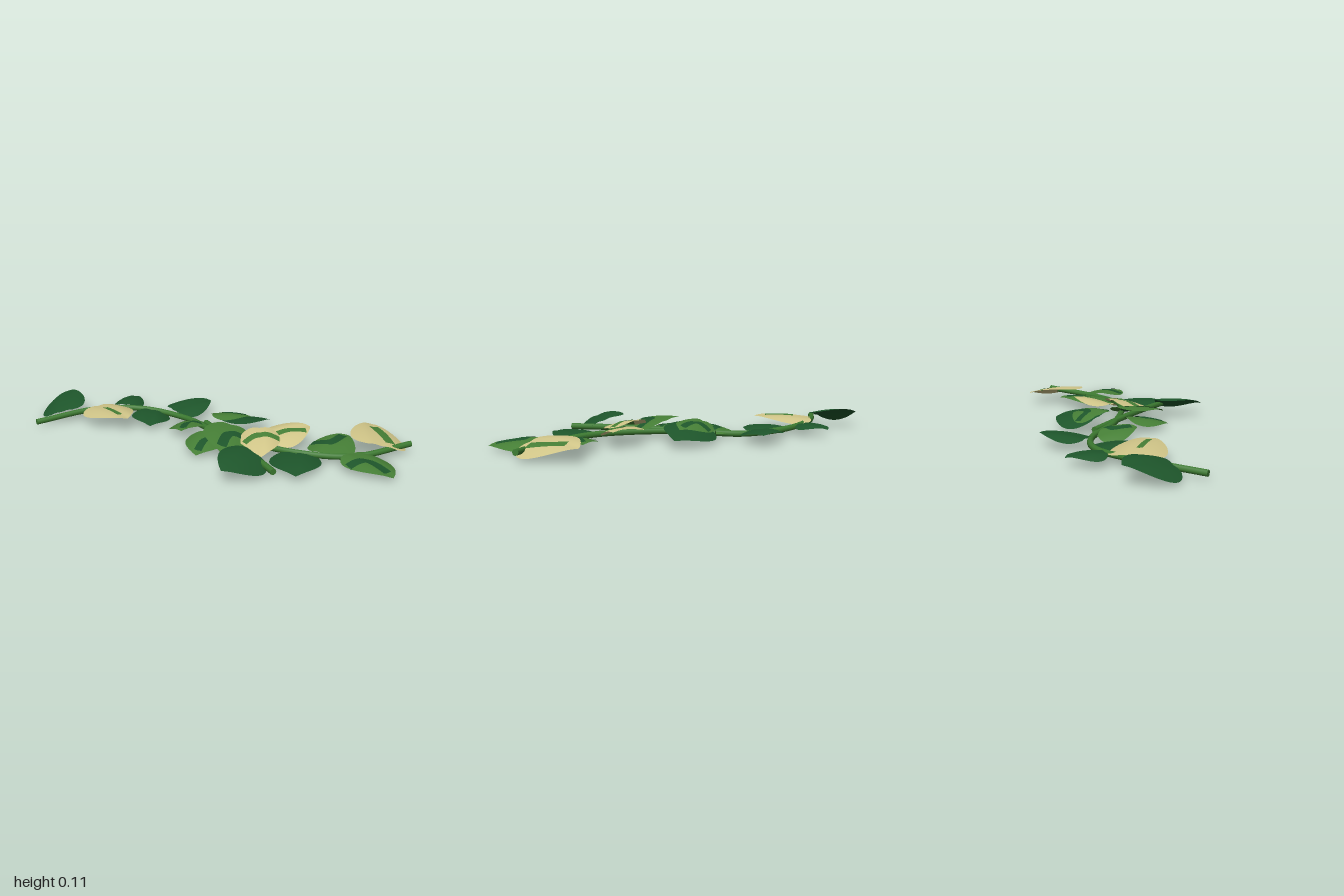
import * as THREE from 'three';

const mat = (name, color) => {
  const m = new THREE.MeshStandardMaterial({ color, side: THREE.DoubleSide });
  m.name = name;
  return m;
};

// Open sheet from a rule fn(s, q) -> [x, y, z], s in 0..1 along, q in -1..1 across
function sheet(rows, cols, fn) {
  const pos = [], idx = [];
  for (let i = 0; i <= rows; i++) {
    for (let j = 0; j <= cols; j++) pos.push(...fn(i / rows, (2 * j) / cols - 1));
  }
  for (let i = 0; i < rows; i++) {
    for (let j = 0; j < cols; j++) {
      const a = i * (cols + 1) + j, b = a + cols + 1;
      idx.push(a, a + 1, b, a + 1, b + 1, b);
    }
  }
  const g = new THREE.BufferGeometry();
  g.setAttribute('position', new THREE.Float32BufferAttribute(pos, 3));
  g.setIndex(idx);
  g.computeVertexNormals();
  return g;
}

// Broad near the base, pointed at the tip
const halfWidth = (t) => 2.08 * (t + 0.03) ** 0.4 * (1 - t) ** 0.8;
const half = 0.44;

// Leaf from base to tip in plan; the slopes tilt it along x and z
function makeLeaf([bx, bz, tx, tz, y, slopeX = 0, slopeZ = 0], leafMat, streak) {
  const group = new THREE.Group();
  const dx = tx - bx, dz = tz - bz;

  // t runs base to tip, p runs across; domed, with a shallow midrib and drooping tip
  const point = (t, p, lift = 0) => {
    const x = bx + dx * t - dz * p * half, z = bz + dz * t + dx * p * half;
    const tilt = slopeX * (x - bx - dx / 2) + slopeZ * (z - bz - dz / 2);
    const dome = 0.013 - 0.03 * p * p - 0.045 * (t - 0.4) ** 2 - 0.006 * Math.exp(-30 * p * p);
    return [x, y + tilt + dome + lift, z];
  };

  const blade = new THREE.Mesh(sheet(20, 8, (t, q) => point(t, q * halfWidth(t))), leafMat);
  blade.name = 'blade';
  group.add(blade);

  // Variegated streak, laid on both faces and trimmed to the leaf edge
  if (streak) {
    for (const lift of [0.003, -0.003]) {
      const mesh = new THREE.Mesh(sheet(24, 2, (s, q) => {
        const c = streak.path.getPoint(s), d = streak.path.getTangent(s);
        const w = q * streak.width;
        const t = THREE.MathUtils.clamp(c.x - d.y * w, 0, 1), edge = halfWidth(t);
        return point(t, THREE.MathUtils.clamp((c.y + d.x * w) / half, -edge, edge), lift);
      }), streak.mat);
      mesh.name = 'streak';
      group.add(mesh);
    }
  }
  return group;
}

// Round, gently waving stem through points in plan, with end caps
function makeStem(name, points, m) {
  const group = new THREE.Group();
  group.name = name;
  const curve = new THREE.CatmullRomCurve3(points.map(([x, z]) =>
    new THREE.Vector3(x, 0.045 + 0.01 * Math.cos(7.4 * (x + 0.65)), z)));
  group.add(new THREE.Mesh(new THREE.TubeGeometry(curve, 48, 0.016, 8), m));
  for (const t of [0, 1]) {
    const cap = new THREE.Mesh(new THREE.CircleGeometry(0.016, 8), m);
    cap.position.copy(curve.getPoint(t));
    cap.quaternion.setFromUnitVectors(
      new THREE.Vector3(0, 0, 1), curve.getTangent(t).multiplyScalar(t ? 1 : -1));
    group.add(cap);
  }
  return group;
}

// Streak path in leaf lengths: along, across
const makeStreak = (points, width, m, side = 1) => ({
  path: new THREE.SplineCurve(points.map(([t, p]) => new THREE.Vector2(t, p * side))), width, mat: m,
});

export function createModel() {
  const model = new THREE.Group();
  model.name = 'variegatedVine';
  const dark = mat('darkLeafGreen', 0x1e562b);
  const green = mat('leafGreen', 0x467f36);
  const cream = mat('cream', 0xd0c588);
  const stem = mat('stemGreen', 0x3c7a30);

  model.add(makeStem('mainStem', [
    [-0.985, -0.08], [-0.7, -0.29], [-0.45, -0.35], [-0.2, -0.26],
    [0, -0.04], [0.38, 0.18], [0.7, 0.18], [0.985, 0.01],
  ], stem));
  model.add(makeStem('sideStem', [[-0.08, -0.19], [0.13, 0.14], [0.335, 0.46]], stem));

  // Streak patterns
  const elbowPath = [[0.35, -0.42], [0.42, -0.06], [0.86, 0]];
  const elbow = makeStreak(elbowPath, 0.09, dark);
  const mirroredElbow = makeStreak(elbowPath, 0.09, dark, -1);
  const thin = makeStreak([[0.3, 0.03], [0.8, 0.03]], 0.05, green);
  const slant = makeStreak([[0.04, 0.02], [0.45, 0.03], [0.8, 0.16]], 0.08, green);
  const veer = makeStreak([[0.14, 0.17], [0.45, 0.1], [0.75, 0]], 0.085, green);
  const chevron = makeStreak([[0.52, 0.34], [0.33, 0], [0.36, -0.42]], 0.09, green);

  const addLeaves = (name, m, streak, rows) => rows.forEach((row, i) => {
    const leaf = makeLeaf(row, m, streak);
    leaf.name = `${name}${i + 1}`;
    model.add(leaf);
  });

  // Leaf rows: base x, base z, tip x, tip z, height, slope along x, slope along z
  addLeaves('darkLeaf', dark, null, [
    [-0.88, -0.19, -0.91, -0.45, 0.085, 0.27, -0.22],
    [-0.56, -0.36, -0.54, -0.545, 0.06],
    [-0.28, -0.32, -0.1, -0.495, 0.065, 0, -0.1],
    [-0.41, -0.34, -0.37, -0.11, 0.045, -0.1],
    [-0.01, -0.13, 0.26, -0.25, 0.075, 0, 0.25],
    [0.42, 0.18, 0.44, 0.465, 0.045],
    [0.23, 0.32, 0.1, 0.54, 0.085, -0.3, -0.18],
  ]);
  addLeaves('greenLeaf', green, elbow, [
    [-0.17, -0.22, -0.18, 0, 0.05, 0.15, 0.15],
    [-0.04, -0.14, 0.165, -0.185, 0.1, 0, 0.22],
    [-0.03, 0.02, -0.065, 0.245, 0.05, 0, -0.15],
    [0.08, 0, 0.06, 0.28, 0.09, -0.2, -0.12],
    [0.56, 0.18, 0.665, -0.065, 0.055, 0, -0.1],
  ]);
  addLeaves('outerGreenLeaf', green, mirroredElbow, [[0.7, 0.18, 0.89, 0.39, 0.042, -0.12]]);
  addLeaves('farCreamLeaf', cream, thin, [[-0.7, -0.3, -0.485, -0.085, 0.078, 0.04, 0.05]]);
  addLeaves('middleCreamLeaf', cream, slant, [[0.28, 0.08, 0.48, -0.06, 0.09, 0, -0.2]]);
  addLeaves('lowerCreamLeaf', cream, chevron, [[0.23, 0.05, 0.26, 0.28, 0.085, 0, -0.25]]);
  addLeaves('endCreamLeaf', cream, veer, [[0.84, 0.11, 0.79, -0.2, 0.078, -0.25]]);
  return model;
}
